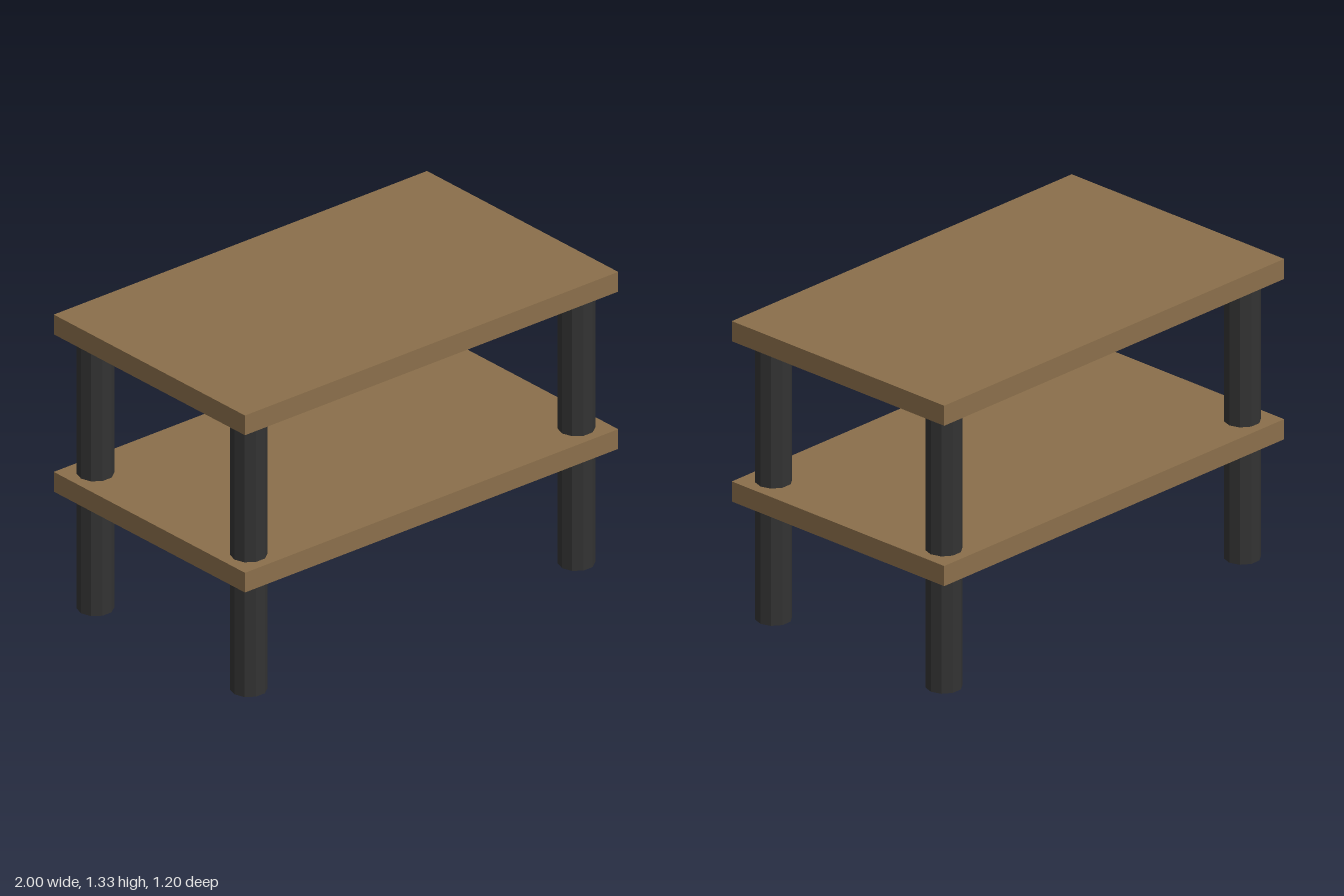
import * as THREE from 'three';

export function createModel() {
  const group = new THREE.Group();
  const wood = new THREE.MeshStandardMaterial({ color: 0x8b6f4b, flatShading: true });
  const dark = new THREE.MeshStandardMaterial({ color: 0x333333, flatShading: true });

  // Two identical boards: lower shelf and table top
  const thickness = 0.09;
  const boardGeometry = new THREE.BoxGeometry(2, thickness, 1.2);
  const addBoard = (name, bottom) => {
    const board = new THREE.Mesh(boardGeometry, wood);
    board.name = name;
    board.position.y = bottom + thickness / 2;
    group.add(board);
  };
  addBoard('lowerShelf', 0.525);
  addBoard('tableTop', 1.243);

  // Four ten-sided legs, running through the shelf up to the top
  const height = 1.243;
  const legGeometry = new THREE.CylinderGeometry(0.077, 0.077, height, 10, 1, false, Math.PI / 2);
  for (const [side, x] of [['Left', 0.878], ['Right', -0.878]]) {
    for (const [end, z] of [['front', 0.481], ['back', -0.481]]) {
      const leg = new THREE.Mesh(legGeometry, dark);
      leg.name = `${end}${side}Leg`;
      leg.position.set(x, height / 2, z);
      group.add(leg);
    }
  }
  return group;
}
